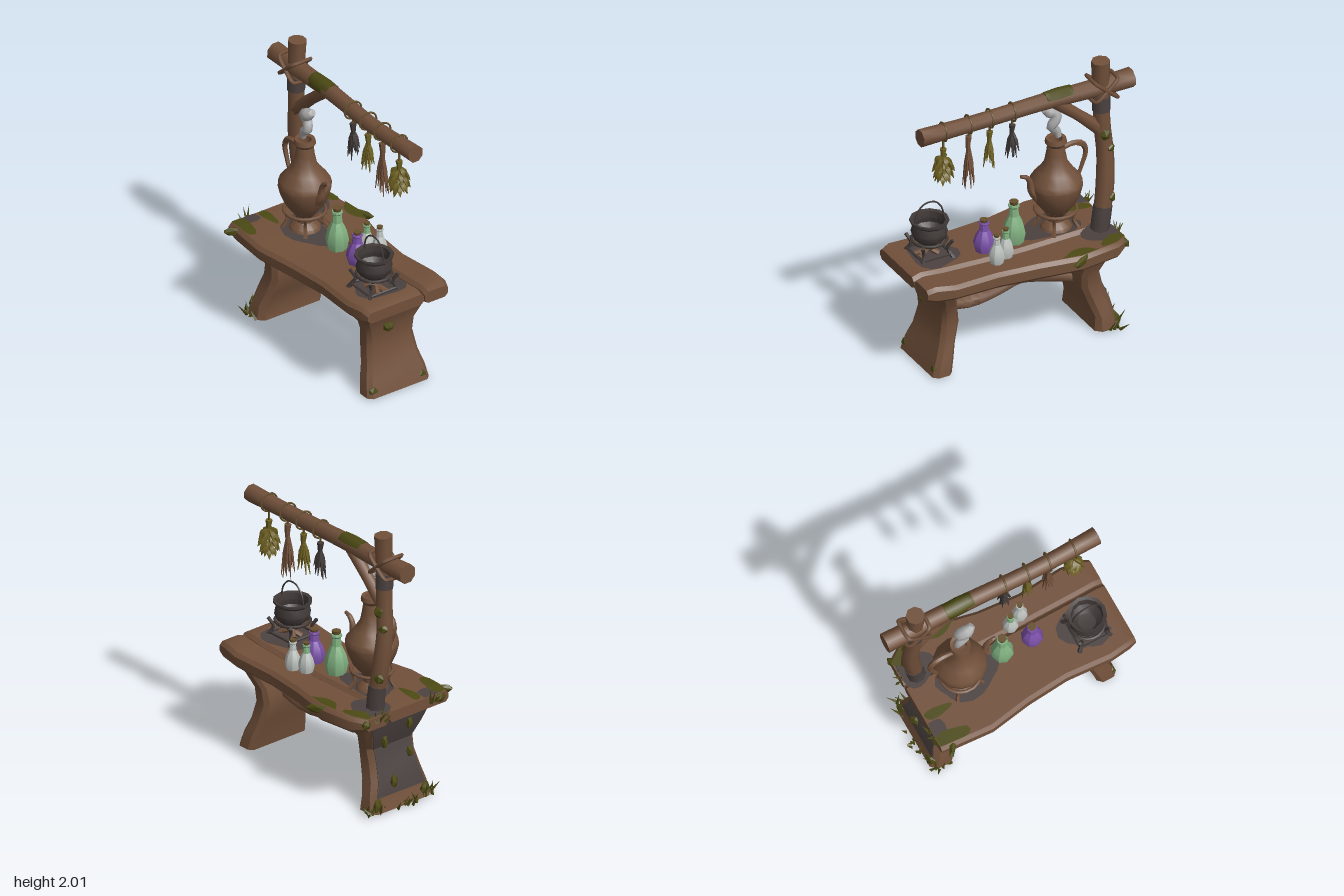
import * as THREE from 'three';
import { toCreasedNormals } from 'three/addons/utils/BufferGeometryUtils.js';

const material = (name, color) => Object.assign(new THREE.MeshStandardMaterial({ color }), { name });
const M = {
  wood: material('wood', 0x71503a), char: material('charred wood', 0x4b4240), moss: material('moss', 0x4c4a14),
  leaf: material('dried leaf', 0x6c5f22), iron: material('iron', 0x403937), rope: material('rope', 0x66502c),
  green: material('green glass', 0x80b080), purple: material('purple glass', 0x7a50a8),
  glass: material('pale glass', 0xbcc2be), steam: material('steam', 0xaeaeae),
};
const V = (p) => (p.isVector3 ? p.clone() : new THREE.Vector3(...p));
let seed = 7;
const rnd = (a = 0, b = 1) => { seed = (seed * 16807) % 2147483647; return a + (b - a) * seed / 2147483647; };

function add(parent, name, geo, mat) {
  const mesh = new THREE.Mesh(geo, mat);
  mesh.name = name;
  parent.add(mesh);
  return mesh;
}
function group(parent, name, x = 0, y = 0, z = 0) {
  const g = new THREE.Group();
  g.name = name;
  g.position.set(x, y, z);
  parent.add(g);
  return g;
}
// piecewise linear lookup
function at(xs, ys, x) {
  let i = 0;
  while (i < xs.length - 2 && x > xs[i + 1]) i++;
  return THREE.MathUtils.lerp(ys[i], ys[i + 1], THREE.MathUtils.clamp((x - xs[i]) / (xs[i + 1] - xs[i]), 0, 1));
}
// closed solid through a list of rings, turned outward by its signed volume
function loft(rings, crease = 0.7) {
  const tris = [], n = rings[0].length;
  for (let i = 0; i < rings.length - 1; i++) for (let j = 0; j < n; j++) {
    const k = (j + 1) % n, a = rings[i], b = rings[i + 1];
    tris.push([a[j], a[k], b[k]], [a[j], b[k], b[j]]);
  }
  const last = rings[rings.length - 1];
  for (let j = 1; j < n - 1; j++) tris.push([rings[0][0], rings[0][j + 1], rings[0][j]], [last[0], last[j], last[j + 1]]);
  const origin = rings[0][0], sub = (p) => p.clone().sub(origin);
  const volume = tris.reduce((s, t) => s + sub(t[0]).dot(sub(t[1]).cross(sub(t[2]))), 0);
  const points = tris.flatMap((t) => (volume < 0 ? [t[0], t[2], t[1]] : t));
  const geo = new THREE.BufferGeometry().setFromPoints(points);
  geo.computeVertexNormals();
  return toCreasedNormals(geo, crease);
}
// tapering branch along a path; flat squashes its section
function limb(path, radii, sides = 7, flat = 1, crease = 0.9) {
  const pts = path.map(V), n = pts.length === 2 ? 1 : (pts.length - 1) * 3;
  const curve = new THREE.CatmullRomCurve3(pts), f = curve.computeFrenetFrames(n);
  const r = [].concat(radii), stops = r.map((_, i) => i / Math.max(1, r.length - 1));
  return loft(Array.from({ length: n + 1 }, (_, i) => {
    const c = curve.getPointAt(i / n), rad = r.length > 1 ? at(stops, r, i / n) : r[0];
    return Array.from({ length: sides }, (_, j) => {
      const a = (j + 0.5) / sides * Math.PI * 2;
      return c.clone().addScaledVector(f.normals[i], Math.cos(a) * rad).addScaledVector(f.binormals[i], Math.sin(a) * rad * flat);
    });
  }), crease);
}
const lathe = (profile, segments = 14, crease = 0.6) =>
  toCreasedNormals(new THREE.LatheGeometry(profile.map(([r, y]) => new THREE.Vector2(r, y)), segments), crease);
function ring(parent, name, radius, tube, y, mat) {
  const t = add(parent, name, new THREE.TorusGeometry(radius, tube, 6, 18), mat);
  t.rotation.x = Math.PI / 2;
  t.position.y = y;
}
function clump(parent, x, y, z, sx, sy, sz) {
  const m = add(parent, 'mossClump', new THREE.IcosahedronGeometry(1, 0), M.moss);
  m.geometry = toCreasedNormals(m.geometry, 0.1);
  m.position.set(x, y, z);
  m.scale.set(sx, sy, sz);
  m.rotation.y = x * 9;
}
function blades(parent, count, box) {
  for (let i = 0; i < count; i++) {
    const p = new THREE.Vector3(rnd(box[0], box[1]), box[2], rnd(box[3], box[4]));
    add(parent, 'grassBlade', limb([p, [p.x + rnd(-0.06, 0.04), p.y + rnd(0.04, 0.1), p.z + rnd(-0.05, 0.05)]], [0.013, 0.001], 3), M.moss);
  }
}

// table outline by station along x
const TX = [-0.67, -0.58, -0.3, 0, 0.3, 0.62, 0.76, 0.82];
const FRONT = [0.39, 0.4, 0.415, 0.36, 0.335, 0.36, 0.345, 0.33];
const BACK = [-0.33, -0.39, -0.42, -0.36, -0.335, -0.36, -0.34, -0.32];
const TOP = [0.725, 0.735, 0.73, 0.725, 0.73, 0.745, 0.76, 0.74];
const BOTTOM = [0.645, 0.625, 0.62, 0.61, 0.62, 0.64, 0.645, 0.66];
const SEAM = -0.13;

function buildTable(root) {
  const table = group(root, 'table');
  const plank = (z0, z1, dy) => loft(TX.map((x, i) => {
    const a = z0(i), b = z1(i), t = TOP[i], u = BOTTOM[i] + dy;
    return [[a, u + 0.025], [a, t - 0.025], [a + 0.025, t], [b - 0.025, t], [b, t - 0.025], [b, u + 0.025], [b - 0.025, u], [a + 0.025, u]]
      .map(([z, y]) => new THREE.Vector3(x, y, z));
  }), 0.5);
  add(table, 'frontPlank', plank(() => SEAM + 0.004, (i) => FRONT[i], 0), M.wood);
  add(table, 'backPlank', plank((i) => BACK[i], () => SEAM - 0.004, -0.005), M.wood);
  // stains laid onto the planks
  const patch = (name, mat, cx, cz, rx, rz, lift = 0.004) => {
    const geo = new THREE.RingGeometry(0.01, 1, 18, 5), p = geo.attributes.position;
    for (let i = 0; i < p.count; i++) {
      const u = p.getX(i), v = p.getY(i), w = 1 + 0.14 * Math.sin(3 * Math.atan2(v, u) + cx * 20);
      const x = THREE.MathUtils.clamp(cx + rx * u * w, -0.667, 0.81);
      const z = THREE.MathUtils.clamp(cz - rz * v * w, at(TX, BACK, x) + 0.022, at(TX, FRONT, x) - 0.022);
      p.setXYZ(i, x, at(TX, TOP, x) + lift, z);
    }
    geo.computeVertexNormals();
    add(table, name, geo, mat);
  };
  patch('scorch', M.char, -0.55, -0.2, 0.13, 0.13);
  patch('scorch', M.char, -0.28, 0.03, 0.22, 0.14);
  patch('scorch', M.char, 0.57, 0.07, 0.17, 0.17);
  patch('scorch', M.char, -0.63, 0.27, 0.06, 0.1);
  patch('moss', M.moss, -0.6, -0.34, 0.12, 0.07, 0.007);
  patch('moss', M.moss, -0.3, -0.38, 0.13, 0.06, 0.007);
  patch('moss', M.moss, -0.57, 0.35, 0.12, 0.07, 0.007);
  patch('moss', M.moss, -0.57, 0.14, 0.1, 0.035, 0.007);
  clump(table, -0.59, 0.7, 0.39, 0.09, 0.035, 0.025);
  clump(table, -0.66, 0.69, 0.33, 0.025, 0.04, 0.07);
  clump(table, -0.3, 0.7, -0.41, 0.12, 0.035, 0.02);
  clump(table, -0.65, 0.69, -0.3, 0.03, 0.04, 0.07);
  blades(table, 7, [-0.69, -0.65, 0.68, -0.27, -0.17]);
  blades(table, 4, [-0.69, -0.66, 0.68, 0.2, 0.28]);

  // curved slab legs: [y, outer and inner x, half depth]
  const slab = (rows) => loft(rows.map(([y, a, b, d]) => {
    const c = (b - a) * 0.22;
    return [[a, d - c], [a + c, d], [b - c, d], [b, d - c], [b, c - d], [b - c, -d], [a + c, -d], [a, c - d]]
      .map(([x, z]) => new THREE.Vector3(x, y, z));
  }), 0.6);
  const left = [[0, -0.67, -0.49, 0.26], [0.1, -0.64, -0.5, 0.245], [0.2, -0.62, -0.465, 0.215], [0.32, -0.575, -0.425, 0.195],
    [0.42, -0.55, -0.42, 0.2], [0.54, -0.6, -0.45, 0.245], [0.65, -0.63, -0.45, 0.29]];
  const right = [[0, 0.585, 0.73, 0.25], [0.1, 0.565, 0.7, 0.235], [0.2, 0.54, 0.66, 0.205], [0.34, 0.5, 0.63, 0.185],
    [0.45, 0.515, 0.635, 0.195], [0.55, 0.545, 0.67, 0.24], [0.65, 0.56, 0.715, 0.29]];
  add(table, 'leftLeg', slab(left), M.wood);
  add(table, 'rightLeg', slab(right), M.wood);
  add(table, 'legScorch', slab(left.slice(1).map(([y, a, , d]) => [y, a - 0.005, a + 0.004, d - 0.035])), M.char);
  add(table, 'stretcher', limb([[-0.46, 0.32, 0], [-0.25, 0.385, 0.01], [-0.05, 0.43, 0], [0.13, 0.385, 0], [0.32, 0.36, 0], [0.54, 0.4, 0]], [0.045, 0.05, 0.045, 0.05, 0.045]), M.wood);
  for (const [x, y, z, s] of [[-0.61, 0.56, 0.1, 0.05], [-0.59, 0.47, -0.1, 0.05], [-0.59, 0.33, 0.12, 0.04], [-0.63, 0.18, -0.05, 0.05],
    [-0.65, 0.06, 0.2, 0.05], [-0.64, 0.05, -0.2, 0.06], [0.66, 0.47, 0.05, 0.04], [0.7, 0.04, 0.2, 0.04], [0.7, 0.04, -0.19, 0.04]])
    clump(table, x, y, z, 0.025, s, s);
  blades(table, 26, [-0.71, -0.6, 0, -0.28, 0.25]);
  blades(table, 7, [-0.65, -0.52, 0, -0.29, -0.25]);
  blades(table, 5, [-0.65, -0.52, 0, 0.25, 0.28]);
}

function buildFrame(root) {
  const frame = group(root, 'hangingFrame');
  const path = [[-0.555, 0.64, -0.15], [-0.572, 0.8, -0.16], [-0.612, 1.08, -0.145], [-0.622, 1.3, -0.125], [-0.606, 1.5, -0.115], [-0.6, 1.75, -0.11], [-0.595, 2, -0.115]];
  add(frame, 'post', limb(path, [0.062, 0.06, 0.063, 0.058, 0.057, 0.057, 0.064], 8), M.wood);
  const post = new THREE.CatmullRomCurve3(path.map(V));
  const sleeve = (a, b, r) => add(frame, 'postScorch', limb([a, (a + b) / 2, b].map((t) => post.getPointAt(t)), r, 8), M.char);
  sleeve(0.07, 0.2, 0.065);
  sleeve(0.72, 0.8, 0.062);
  const beamY = 1.795;
  add(frame, 'beam', limb([[-0.83, 1.8, -0.105], [-0.55, beamY, -0.105], [-0.2, 1.8, -0.1], [0.3, 1.785, -0.09], [0.76, 1.795, -0.1]], [0.07, 0.062, 0.058, 0.055, 0.055, 0.062], 8), M.wood);
  add(frame, 'beamMoss', limb([[-0.38, 1.808, -0.1], [-0.27, 1.81, -0.1], [-0.18, 1.809, -0.1]], [0.057, 0.06, 0.055], 8), M.moss);
  add(frame, 'brace', limb([[-0.6, 1.47, -0.11], [-0.44, 1.62, -0.11], [-0.24, 1.79, -0.1]], [0.05, 0.04, 0.045]), M.wood);
  // crossed lashing at the joint
  for (const s of [-1, 1]) {
    const loop = [[-s, -1, 1], [0, 0, 1.15], [s, 1, 1], [s, 1, -1], [0, 0, -1.15], [-s, -1, -1]]
      .map(([x, y, z]) => new THREE.Vector3(-0.61 + x * 0.08, 1.795 + y * 0.07, -0.107 + z * 0.07));
    add(frame, 'lashing', new THREE.TubeGeometry(new THREE.CatmullRomCurve3(loop, true, 'catmullrom', 0.3), 30, 0.014, 5, true), M.wood);
  }
  clump(frame, -0.61, 1.45, -0.15, 0.05, 0.05, 0.04);
  clump(frame, -0.64, 1.34, -0.15, 0.04, 0.04, 0.04);
  clump(frame, -0.63, 0.98, -0.18, 0.04, 0.05, 0.04);

  // hanging herbs: [x, tie height, lowest point, spread, strands, colour]
  const herbs = [[0.06, 1.67, 1.42, 0.055, 14, M.iron], [0.23, 1.67, 1.39, 0.05, 12, M.leaf], [0.39, 1.68, 1.29, 0.05, 10, M.wood], [0.58, 1.64, 1.4, 0.07, 34, M.leaf]];
  herbs.forEach(([x, top, low, spread, count, mat], k) => {
    const h = group(frame, 'herbBundle', x, 0, -0.095);
    const loop = add(h, 'hangingLoop', new THREE.TorusGeometry(0.064, 0.007, 5, 16), M.rope);
    loop.position.y = 1.79;
    loop.rotation.y = Math.PI / 2 - 0.1;
    add(h, 'string', limb([[0, 1.735, 0], [0, top, 0]], 0.008, 5), M.rope);
    add(h, 'stalks', limb([[0, top + 0.02, 0], [0.005, top - 0.05, 0], [0, (top + low) / 2, 0]], [0.024, 0.014, 0.022], 6), mat);
    for (let i = 0; i < count; i++) {
      const a = i * 2.4, c = Math.cos(a), s = Math.sin(a);
      if (k === 3) {
        const y = top - 0.05 - (top - low - 0.08) * i / count, w = spread * (0.5 + 0.5 * Math.sin(Math.PI * (0.15 + 0.8 * i / count)));
        add(h, 'leaf', limb([[0, y + 0.02, 0], [c * w * 0.7, y, s * w * 0.7], [c * w * 1.1, y - 0.045, s * w * 1.1]], [0.006, 0.024, 0.002], 4, 0.4), mat);
      } else {
        const end = low + rnd(0, 0.1), w = spread * rnd(0.4, 1);
        add(h, 'strand', limb([[0, top - 0.02, 0], [c * w * 0.5, (top + end) / 2, s * w * 0.5], [c * w, end, s * w]], [0.006, k === 2 ? 0.014 : 0.015, 0.003], 4, 0.5), mat);
      }
    }
  });
}

function buildPitcher(root) {
  const g = group(root, 'pitcher', -0.33, 0, 0.015);
  add(g, 'body', lathe([[0, 0.86], [0.09, 0.87], [0.13, 0.92], [0.165, 1], [0.182, 1.07], [0.17, 1.11], [0.12, 1.17], [0.08, 1.23], [0.066, 1.3], [0.058, 1.36], [0.075, 1.385], [0.068, 1.415], [0.045, 1.41], [0.04, 1.36], [0, 1.35]], 14), M.wood);
  add(g, 'spout', limb([[0.13, 1, 0], [0.18, 1.06, 0], [0.2, 1.14, 0], [0.225, 1.175, 0], [0.265, 1.19, 0]], [0.045, 0.035, 0.022, 0.018, 0.012]), M.wood);
  add(g, 'handle', limb([[-0.05, 1.32, 0], [-0.13, 1.335, 0], [-0.2, 1.31, 0], [-0.225, 1.25, 0], [-0.2, 1.16, 0], [-0.165, 1.07, 0]], [0.016, 0.022, 0.016, 0.013], 6), M.wood);
  add(g, 'foot', lathe([[0, 0.73], [0.11, 0.73], [0.1, 0.755], [0.06, 0.79], [0.06, 0.83], [0.1, 0.875]], 12), M.wood);
  ring(g, 'standRing', 0.14, 0.012, 0.87, M.wood);
  for (let i = 0; i < 4; i++) {
    const c = Math.cos(i * Math.PI / 2 + 0.6), s = Math.sin(i * Math.PI / 2 + 0.6);
    add(g, 'standLeg', limb([[c * 0.14, 0.87, s * 0.14], [c * 0.115, 0.8, s * 0.115], [c * 0.15, 0.73, s * 0.15]], [0.012, 0.012, 0.016], 5), M.wood);
  }
  add(g, 'steam', limb([[-0.02, 1.42, 0], [-0.005, 1.47, 0.005], [0.035, 1.51, 0], [0.01, 1.56, -0.01], [0, 1.6, 0], [0.05, 1.63, 0.01], [0.09, 1.66, 0]], [0.022, 0.03, 0.034, 0.036, 0.042, 0.045, 0.025], 8, 1, 1.2), M.steam);
}

function buildBottles(root) {
  const bottle = (name, x, z, r, h, mat, neck) => {
    const g = group(root, name, x, 0.728, z);
    add(g, 'glassBody', lathe([[0, 0], [r * 0.82, 0], [r, h * 0.24], [r * 0.8, h * 0.48], [r * 0.45, h * 0.68]], 8, 0.5), mat);
    add(g, 'neck', lathe([[r * 0.45, h * 0.68], [r * 0.38, h * 0.88], [r * 0.5, h * 0.92], [r * 0.45, h * 0.97], [0, h * 0.97]], 8, 0.5), neck);
    add(g, 'stopper', new THREE.CylinderGeometry(r * 0.4, r * 0.32, h * 0.12, 7), M.rope).position.y = h * 0.99;
  };
  bottle('greenBottle', 0, -0.01, 0.08, 0.295, M.green, M.green);
  bottle('purpleBottle', 0.225, -0.01, 0.076, 0.225, M.purple, M.purple);
  bottle('paleBottle', 0.14, -0.15, 0.055, 0.205, M.glass, M.green);
  bottle('paleBottle', 0.23, -0.19, 0.055, 0.205, M.glass, M.glass);
}

function buildCauldron(root) {
  const g = group(root, 'cauldron', 0.575, 0, 0.105);
  add(g, 'pot', lathe([[0, 0.83], [0.07, 0.84], [0.11, 0.875], [0.124, 0.92], [0.112, 0.965], [0.11, 0.975], [0.132, 0.995], [0.132, 1.01], [0.108, 1.005], [0.1, 0.96], [0.11, 0.92], [0.06, 0.87], [0, 0.865]], 12), M.iron);
  add(g, 'bail', limb([[-0.11, 0.99, 0], [-0.095, 1.07, 0], [-0.04, 1.13, 0], [0.04, 1.13, 0], [0.095, 1.07, 0], [0.11, 0.99, 0]], 0.006, 5), M.iron);
  ring(g, 'standRing', 0.118, 0.011, 0.86, M.iron);
  for (let i = 0; i < 4; i++) {
    const c = Math.cos((i + 0.5) * Math.PI / 2), s = Math.sin((i + 0.5) * Math.PI / 2);
    add(g, 'standLeg', limb([[c * 0.16, 0.87, s * 0.16], [c * 0.125, 0.81, s * 0.125], [c * 0.17, 0.735, s * 0.17]], [0.013, 0.012, 0.018], 5), M.iron);
    add(g, 'standBar', limb([[c * 0.155, 0.765, s * 0.155], [-s * 0.155, 0.765, c * 0.155]], 0.009, 5), M.iron);
    add(g, 'firewood', limb([[c * 0.1 + 0.02, 0.75, s * 0.05], [-c * 0.03, 0.8, -s * 0.03]], [0.02, 0.016], 6), M.wood);
  }
}

export function createModel() {
  const root = new THREE.Group();
  root.name = 'brewingTable';
  [buildTable, buildFrame, buildPitcher, buildBottles, buildCauldron].forEach((build) => build(root));
  return root;
}
